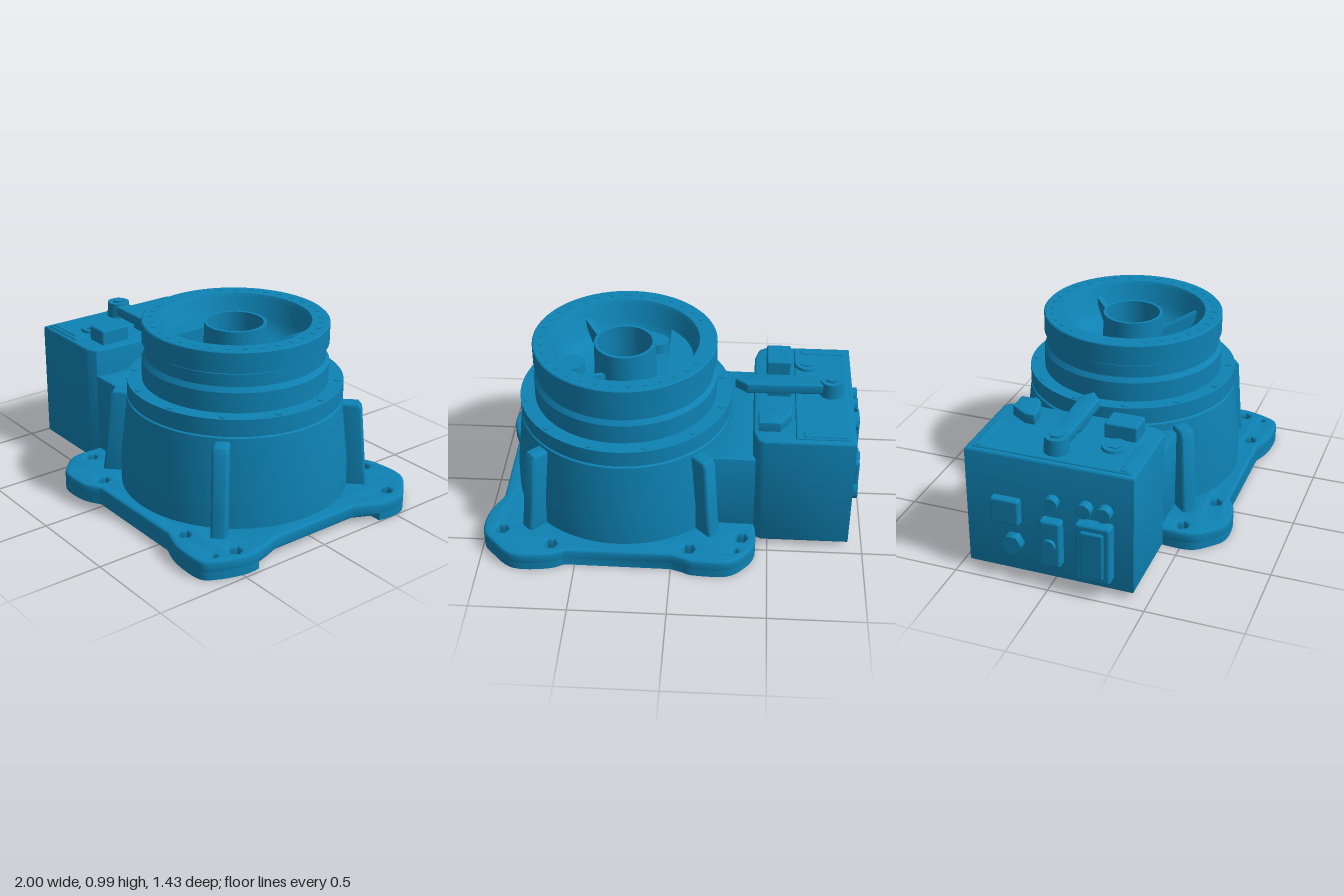
import * as THREE from 'three';
import { toCreasedNormals } from 'three/addons/utils/BufferGeometryUtils.js';
import { RoundedBoxGeometry } from 'three/addons/geometries/RoundedBoxGeometry.js';

const CX = 0.273, CZ = -0.007; // turntable axis
const V = (x, y) => new THREE.Vector2(x, y);

export function createModel() {
  const model = new THREE.Group();
  model.name = 'pedestalBase';
  const paint = new THREE.MeshStandardMaterial({ color: 0x0e82b4, side: THREE.DoubleSide });

  const add = (name, geometry, x = 0, y = 0, z = 0) => {
    const mesh = new THREE.Mesh(geometry, paint);
    mesh.name = name;
    mesh.position.set(x, y, z);
    model.add(mesh);
    return mesh;
  };
  // box given by its limits
  const block = (name, x0, x1, y0, y1, z0, z1, r = 0.008) => add(name,
    new RoundedBoxGeometry(x1 - x0, y1 - y0, z1 - z0, 2, r),
    (x0 + x1) / 2, (y0 + y1) / 2, (z0 + z1) / 2);
  // plan outline (x, z) extruded between two heights
  const slab = (name, shape, y0, y1, bevel = 0) => {
    const g = new THREE.ExtrudeGeometry(shape, {
      depth: y1 - y0 - 2 * bevel, bevelEnabled: bevel > 0, bevelThickness: bevel,
      bevelSize: bevel, bevelOffset: -bevel, bevelSegments: 3, curveSegments: 32,
    });
    g.rotateX(Math.PI / 2);
    return add(name, toCreasedNormals(g, 0.6), 0, y1 - bevel, 0);
  };
  const arcPoints = (r, a0, a1, n) => Array.from({ length: n + 1 }, (_, i) => {
    const a = a0 + (a1 - a0) * i / n;
    return V(CX + r * Math.cos(a), CZ + r * Math.sin(a));
  });
  const hole = (x, z, r, n) => {
    const path = new THREE.Path();
    path.setFromPoints(Array.from({ length: n }, (_, i) =>
      V(x + r * Math.cos(-i * 2 * Math.PI / n), z + r * Math.sin(-i * 2 * Math.PI / n))));
    path.closePath();
    return path;
  };

  // Foot plate: four lobed corners joined by straighter sides
  const corners = [
    [[-0.43, -0.39], [-0.435, -0.55], [-0.38, -0.65], [-0.29, -0.715], [-0.12, -0.715], [-0.06, -0.695], [0.0, -0.675]],
    [[0.55, -0.67], [0.64, -0.708], [0.82, -0.712], [0.94, -0.61], [0.995, -0.53], [0.99, -0.39], [0.93, -0.25]],
    [[0.93, 0.26], [0.975, 0.4], [0.975, 0.5], [0.93, 0.63], [0.87, 0.69], [0.7, 0.69], [0.57, 0.65]],
    [[-0.02, 0.65], [-0.12, 0.7], [-0.27, 0.705], [-0.36, 0.645], [-0.43, 0.55], [-0.43, 0.38]],
  ].map(c => new THREE.SplineCurve(c.map(p => V(...p))).getPoints(24));
  const holes = [
    ...[-0.36, 0.9].flatMap(x => [[x, -0.52, 0.034, 6], [x, 0.49, 0.034, 6]]),
    ...[-0.09, 0.63].flatMap(x => [[x, -0.62, 0.034, 6], [x, 0.59, 0.034, 6]]),
    [-0.335, -0.62, 0.015, 8], [0.88, 0.6, 0.015, 8],
  ];
  const plate = new THREE.Shape(corners.flat());
  plate.holes.push(hole(CX, CZ, 0.53, 64), ...holes.map(h => hole(...h)));
  slab('footPlate', plate, 0.03, 0.1, 0.014);

  // Long feet under the front and back edges, leaving the two ends arched
  const footAngle = Math.asin(0.38 / 0.56);
  [-1, 1].forEach(s => {
    const rim = corners.flat().filter(p => p.y * s > 0.375);
    const a = s > 0 ? Math.PI - footAngle : -footAngle;
    const b = s > 0 ? footAngle : footAngle - Math.PI;
    const foot = new THREE.Shape([...rim, ...arcPoints(0.56, a, b, 24)]);
    foot.holes.push(...holes.filter(h => h[1] * s > 0).map(h => hole(...h)));
    slab('foot', foot, 0, 0.045);
  });

  // Turned body: tapered housing, flange, neck, top ring, dish and hollow hub
  const profile = [
    [0.53, 0.03], [0.6, 0.09], [0.597, 0.25], [0.56, 0.57], [0.55, 0.575], [0.55, 0.582],
    [0.56, 0.585], [0.56, 0.67], [0.482, 0.67], [0.482, 0.775], [0.464, 0.8], [0.464, 0.865],
    [0.43, 0.865], [0.43, 0.875], [0.48, 0.875], [0.48, 0.98], [0.475, 0.985], [0.388, 0.985],
    [0.375, 0.965], [0.355, 0.87], [0.31, 0.81], [0.25, 0.78], [0.165, 0.78], [0.16, 0.965],
    [0.143, 0.965], [0.143, 0.6], [0.44, 0.6], [0.49, 0.55], [0.52, 0.1], [0.53, 0.03],
  ].map(p => V(...p));
  add('turnedBody', toCreasedNormals(new THREE.LatheGeometry(profile, 72), 0.5), CX, 0, CZ);

  // Radial parts around the axis
  const radial = (name, geometry, r, y, angle) => {
    const m = add(name, geometry, CX + r * Math.cos(angle), y, CZ + r * Math.sin(angle));
    m.rotation.y = -angle;
  };
  const ribShape = new THREE.Shape([V(0.54, 0.06), V(0.71, 0.06), V(0.69, 0.2), V(0.66, 0.53), V(0.64, 0.555), V(0.53, 0.555)]);
  const ribGeometry = new THREE.ExtrudeGeometry(ribShape, { depth: 0.05, bevelThickness: 0.015, bevelSize: 0.015, bevelOffset: -0.015, bevelSegments: 3 });
  ribGeometry.translate(0, 0, -0.025);
  const smoothRib = toCreasedNormals(ribGeometry, 0.7);
  for (let i = 0; i < 4; i++) radial('cornerRib', smoothRib, 0, 0, Math.PI * (0.25 + i / 2));

  const flangeBolt = new THREE.CylinderGeometry(0.02, 0.02, 0.012, 6);
  for (let i = 0; i < 12; i++) radial('flangeBolt', flangeBolt, 0.528, 0.668, Math.PI * (i + 0.5) / 6);
  const ringBolt = new THREE.CylinderGeometry(0.014, 0.014, 0.008, 6);
  for (let i = 0; i < 29; i++) radial('ringBolt', ringBolt, 0.435, 0.984, -2.65 + i * 5.3 / 28);
  const innerRib = new THREE.BoxGeometry(0.05, 0.46, 0.025);
  for (let i = 0; i < 6; i++) radial('innerRib', innerRib, 0.485, 0.34, Math.PI * i / 3);

  // Dish details: raised ledge, sloping webs and bosses around the hub
  const ledgeAngle = Math.acos(0.225 / 0.36);
  slab('dishLedge', new THREE.Shape(arcPoints(0.36, Math.PI - ledgeAngle, Math.PI + ledgeAngle, 16)), 0.77, 0.87);
  const web = new THREE.ExtrudeGeometry(
    new THREE.Shape([V(0.15, 0.77), V(0.35, 0.77), V(0.37, 0.92), V(0.15, 0.84)]), { depth: 0.03, bevelEnabled: false });
  web.translate(0, 0, -0.015);
  [0.9, 5.4].forEach(a => radial('dishWeb', web, 0, 0, a));
  const boss = new THREE.CylinderGeometry(0.07, 0.075, 0.07, 24);
  [[0.56, -0.02], [0.13, 0.23]].forEach(([x, z]) => add('dishBoss', boss, x, 0.8, z));

  // Neck joining the housing to the connection box
  const t = Math.asin(0.4 / 0.55);
  slab('neck', new THREE.Shape([V(-0.45, 0.39), V(-0.45, -0.41),
    ...arcPoints(0.55, Math.PI + t, Math.PI - t, 20)]), 0.04, 0.53, 0.008);

  // Connection box with its inner corners cut, and its lid
  slab('connectionBox', new THREE.Shape([V(-0.925, -0.45), V(-0.465, -0.45), V(-0.43, -0.43), V(-0.407, -0.36),
    V(-0.407, 0.31), V(-0.43, 0.39), V(-0.475, 0.42), V(-0.925, 0.42)]), 0.03, 0.68, 0.01);
  block('boxLid', -0.9, -0.62, 0.67, 0.688, -0.42, 0.4);
  [-0.39, 0.36].forEach(z => block('lidStrip', -0.89, -0.66, 0.68, 0.694, z - 0.02, z + 0.02, 0.006));
  block('lidBlock', -0.6, -0.47, 0.67, 0.76, 0.15, 0.32, 0.01);
  const bracket = new THREE.Shape([V(-0.6, -0.22), V(-0.6, -0.27), V(-0.54, -0.36), V(-0.43, -0.36), V(-0.43, -0.26), V(-0.52, -0.22)]);
  slab('lidBracket', bracket, 0.67, 0.735, 0.006);
  add('lidPlug', new THREE.CylinderGeometry(0.065, 0.07, 0.02, 24), -0.69, 0.692, 0.24);
  add('lidPlugHead', new THREE.CylinderGeometry(0.04, 0.04, 0.02, 6), -0.69, 0.697, 0.24);

  // Pointed arm on the lid with its pivot
  const arm = new THREE.Shape();
  arm.moveTo(-0.81, -0.05);
  arm.lineTo(-0.37, -0.065);
  arm.lineTo(-0.305, -0.012);
  arm.lineTo(-0.37, 0.04);
  arm.lineTo(-0.81, 0.03);
  arm.absarc(-0.81, -0.01, 0.05, Math.PI / 2, Math.PI * 1.5, false);
  slab('pointerArm', arm, 0.7, 0.76, 0.01);
  add('armPivot', new THREE.CylinderGeometry(0.06, 0.065, 0.09, 24), -0.81, 0.725, -0.012);
  add('armPivotHead', new THREE.CylinderGeometry(0.035, 0.035, 0.02, 6), -0.81, 0.771, -0.012);
  block('armSupport', -0.6, -0.48, 0.67, 0.71, -0.05, 0.03);

  // Connectors on the end face
  const plug = (name, r, y, z, x0, sides = 20) => {
    const g = new THREE.CylinderGeometry(r, r, -0.91 - x0, sides);
    g.rotateZ(Math.PI / 2);
    add(name, g, (x0 - 0.91) / 2, y, z);
  };
  block('largeConnector', -0.985, -0.91, 0.09, 0.41, 0.14, 0.32, 0.015);
  block('largeConnectorCover', -1, -0.97, 0.12, 0.38, 0.17, 0.29, 0.012);
  block('middleConnector', -0.975, -0.91, 0.12, 0.38, -0.05, 0.06, 0.015);
  plug('middleCap', 0.035, 0.25, 0.005, -0.995);
  [0.18, 0.28].forEach(z => plug('cableSocket', 0.038, 0.475, z, -0.975));
  plug('upperSocket', 0.035, 0.475, 0.01, -0.97);
  block('squareConnector', -0.965, -0.91, 0.31, 0.45, -0.31, -0.16, 0.012);
  plug('hexPlug', 0.055, 0.2, -0.2, -0.975, 6);
  return model;
}
